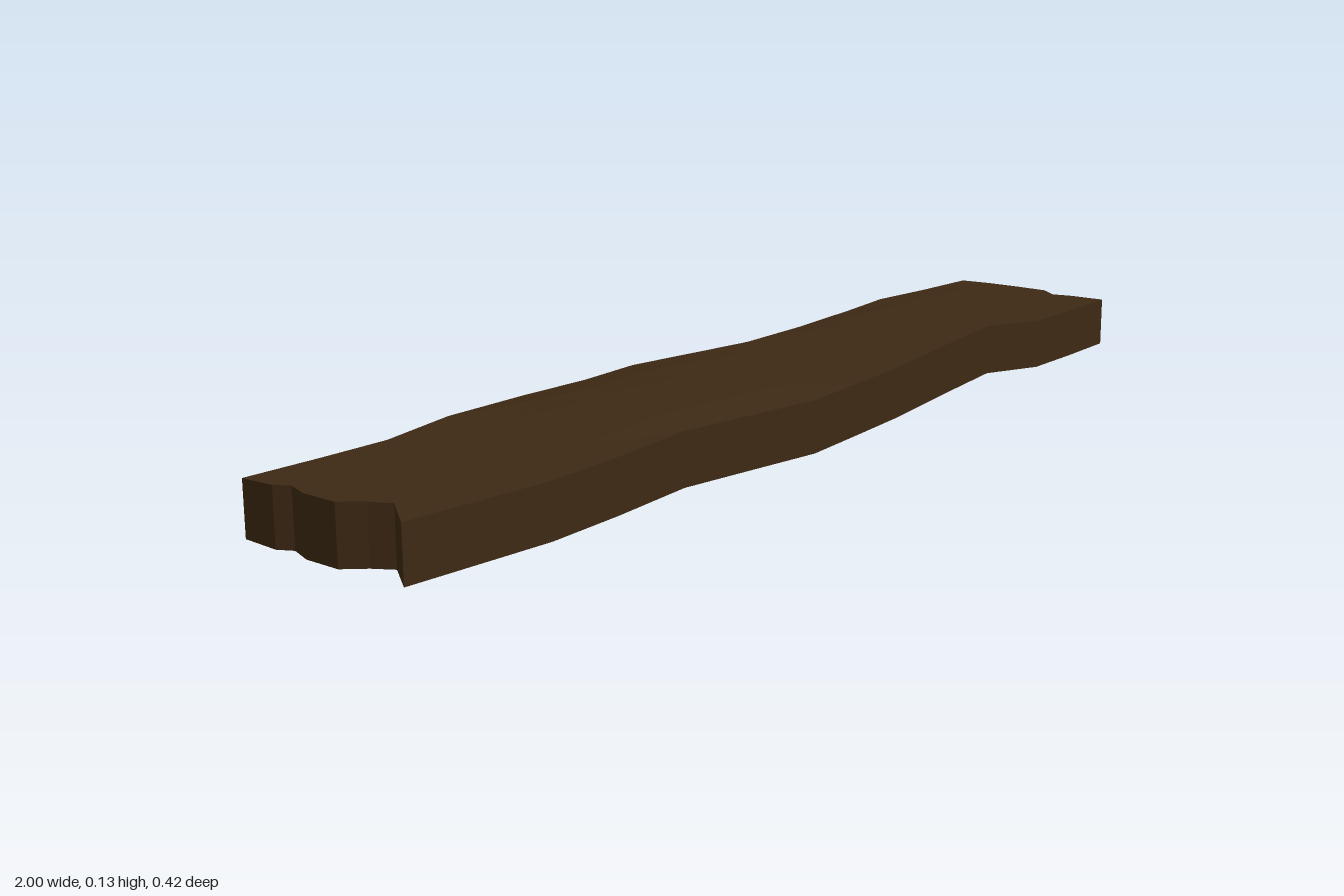
import * as THREE from 'three';

// Stations along the plank:
// [x, back z, front z, centre top, centre bottom, back edge bottom, front edge bottom]
const STATIONS = [
  [-1.00, -0.178, 0.172, 0.119, 0.017, 0.02, 0.02],
  [-0.85, -0.178, 0.172, 0.112, 0.010, 0.018, 0.015],
  [-0.70, -0.193, 0.172, 0.105, 0.003, 0.012, 0.01],
  [-0.55, -0.210, 0.172, 0.117, 0.010, 0.018, 0.014],
  [-0.39, -0.192, 0.172, 0.133, 0.024, 0.025, 0.022],
  [-0.23, -0.195, 0.190, 0.133, 0.018, 0.022, 0.020],
  [-0.08, -0.213, 0.207, 0.129, 0.008, 0.019, 0.018],
  [0.07, -0.196, 0.190, 0.118, 0.004, 0.017, 0.016],
  [0.22, -0.180, 0.172, 0.108, 0.002, 0.015, 0.014],
  [0.38, -0.176, 0.172, 0.121, 0.010, 0.018, 0.028],
  [0.55, -0.173, 0.165, 0.131, 0.021, 0.025, 0.037],
  [0.70, -0.198, 0.190, 0.127, 0.020, 0.022, 0.026],
  [0.85, -0.189, 0.181, 0.121, 0.018, 0.02, 0.022],
  [1.00, -0.180, 0.172, 0.119, 0.017, 0.02, 0.02],
];

// Columns across the width: [position, bulge, left end notch, right end notch]
const COLUMNS = [
  [-1, 0, 0, 0],
  [-0.6, 0.75, 0, 0],
  [-0.45, 0.85, 0.015, 0],
  [-0.2, 1, 0, 0],
  [0.2, 1, 0, 0],
  [0.4, 0.88, 0.03, 0.027],
  [0.6, 0.75, 0.05, 0.015],
  [1, 0, 0, 0],
];

function createPlankGeometry() {
  const positions = [];
  const indices = [];
  const cols = COLUMNS.length;
  const ring = cols * 2;
  const last = STATIONS.length - 1;
  const lerp = THREE.MathUtils.lerp;

  // One closed ring per station: top from back to front, bottom from front to back
  STATIONS.forEach(([x, zBack, zFront, top, bottom, backLow, frontLow], i) => {
    const point = ([u, bulge, notchA, notchB], isTop) => {
      const t = (u + 1) / 2;
      const edge = lerp(backLow, frontLow, t) + (isTop ? 0.096 : 0);
      const px = x + (i === 0 ? notchA : 0) - (i === last ? notchB : 0);
      positions.push(px, lerp(edge, isTop ? top : bottom, bulge), lerp(zBack, zFront, t));
    };
    COLUMNS.forEach((c) => point(c, true));
    [...COLUMNS].reverse().forEach((c) => point(c, false));
  });

  const quad = (a, b, c, d) => indices.push(a, b, c, a, c, d);

  // Long sides
  for (let i = 0; i < last; i++) {
    for (let j = 0; j < ring; j++) {
      const k = (j + 1) % ring;
      quad(i * ring + j, i * ring + k, (i + 1) * ring + k, (i + 1) * ring + j);
    }
  }

  // Broken ends
  const end = last * ring;
  for (let j = 0; j < cols - 1; j++) {
    const low = ring - 1 - j;
    quad(j, low, low - 1, j + 1);
    quad(end + j, end + j + 1, end + low - 1, end + low);
  }

  const geometry = new THREE.BufferGeometry();
  geometry.setAttribute('position', new THREE.Float32BufferAttribute(positions, 3));
  geometry.setIndex(indices);
  const flat = geometry.toNonIndexed();
  flat.computeVertexNormals();
  return flat;
}

export function createModel() {
  const group = new THREE.Group();
  group.name = 'woodenPlank';
  const wood = new THREE.MeshStandardMaterial({ color: 0x3d2914, flatShading: true });
  const plank = new THREE.Mesh(createPlankGeometry(), wood);
  plank.name = 'plank';
  group.add(plank);
  return group;
}
